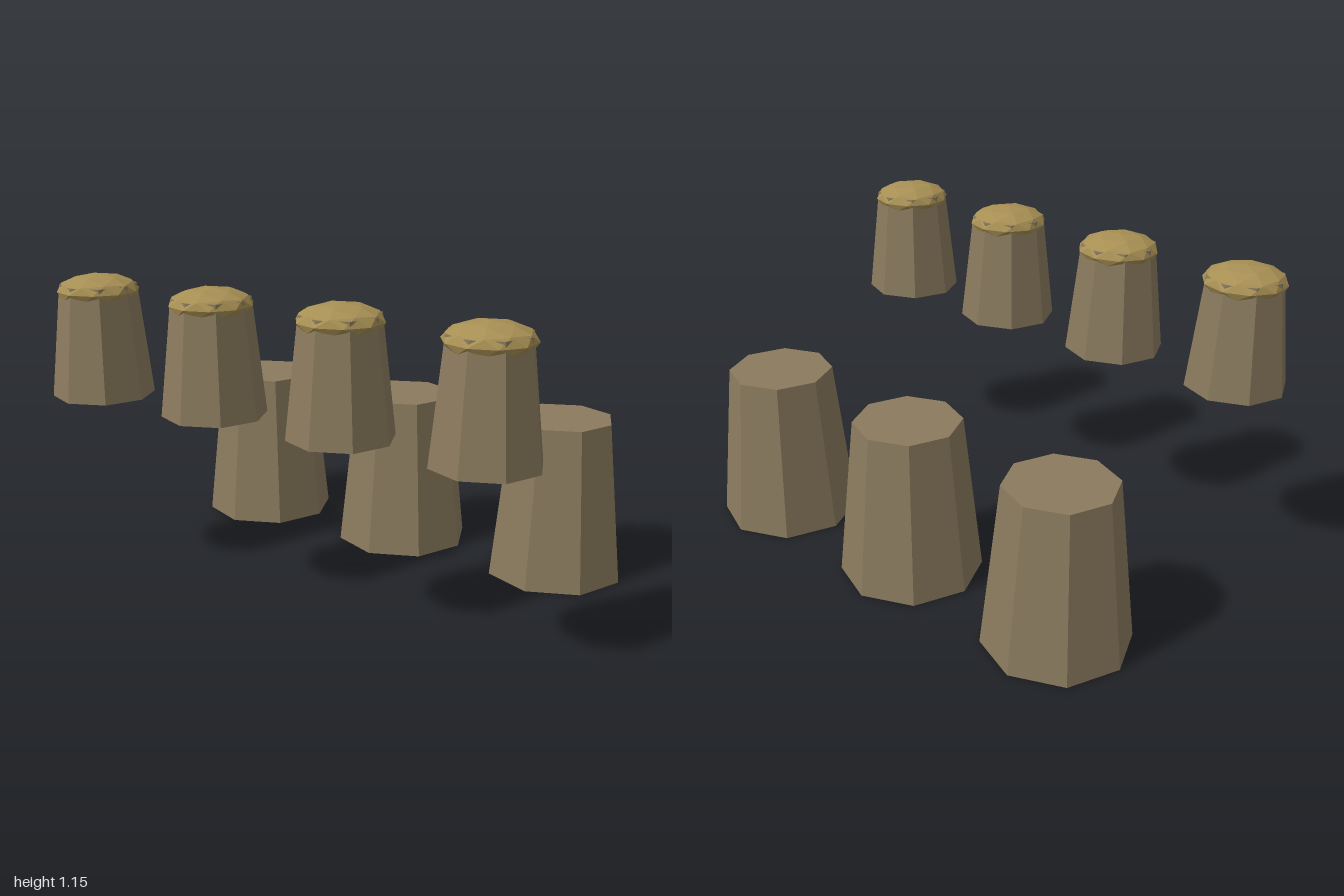
import * as THREE from 'three';

export function createModel() {
  const model = new THREE.Group();
  model.name = 'taperedPosts';

  const wood = new THREE.MeshStandardMaterial({ color: 0x8b7b5e, flatShading: true });
  wood.name = 'brown wood';
  const straw = new THREE.MeshStandardMaterial({ color: 0xa89054, flatShading: true });
  straw.name = 'straw gold';

  // Eight-sided tapered block standing on y = 0
  const taperedBlock = (top, bottom, height) =>
    new THREE.CylinderGeometry(top, bottom, height, 8).translate(0, height / 2, 0);

  const add = (parent, name, geometry, material) => {
    const mesh = new THREE.Mesh(geometry, material);
    mesh.name = name;
    parent.add(mesh);
    return mesh;
  };

  // Back row: three large plain blocks
  const largeBlock = taperedBlock(0.2, 0.267, 0.616);
  for (const x of [-0.69, 0, 0.69]) {
    add(model, 'largeBlock', largeBlock, wood).position.set(x, 0, -0.405);
  }

  // Front row: four small raised blocks, each with a flattened faceted cushion
  const smallBlock = taperedBlock(0.1425, 0.19, 0.421);
  const cushion = new THREE.IcosahedronGeometry(1, 1)
    .rotateZ(-Math.atan(2 / (1 + Math.sqrt(5)))) // one corner points straight up
    .scale(0.153, 0.061, 0.153)
    .translate(0, 0.398, 0);
  for (const x of [-0.81, -0.27, 0.27, 0.81]) {
    const stool = new THREE.Group();
    stool.name = 'cushionedBlock';
    add(stool, 'smallBlock', smallBlock, wood);
    add(stool, 'cushion', cushion, straw);
    stool.position.set(x, 0.695, 0.48);
    model.add(stool);
  }

  return model;
}
